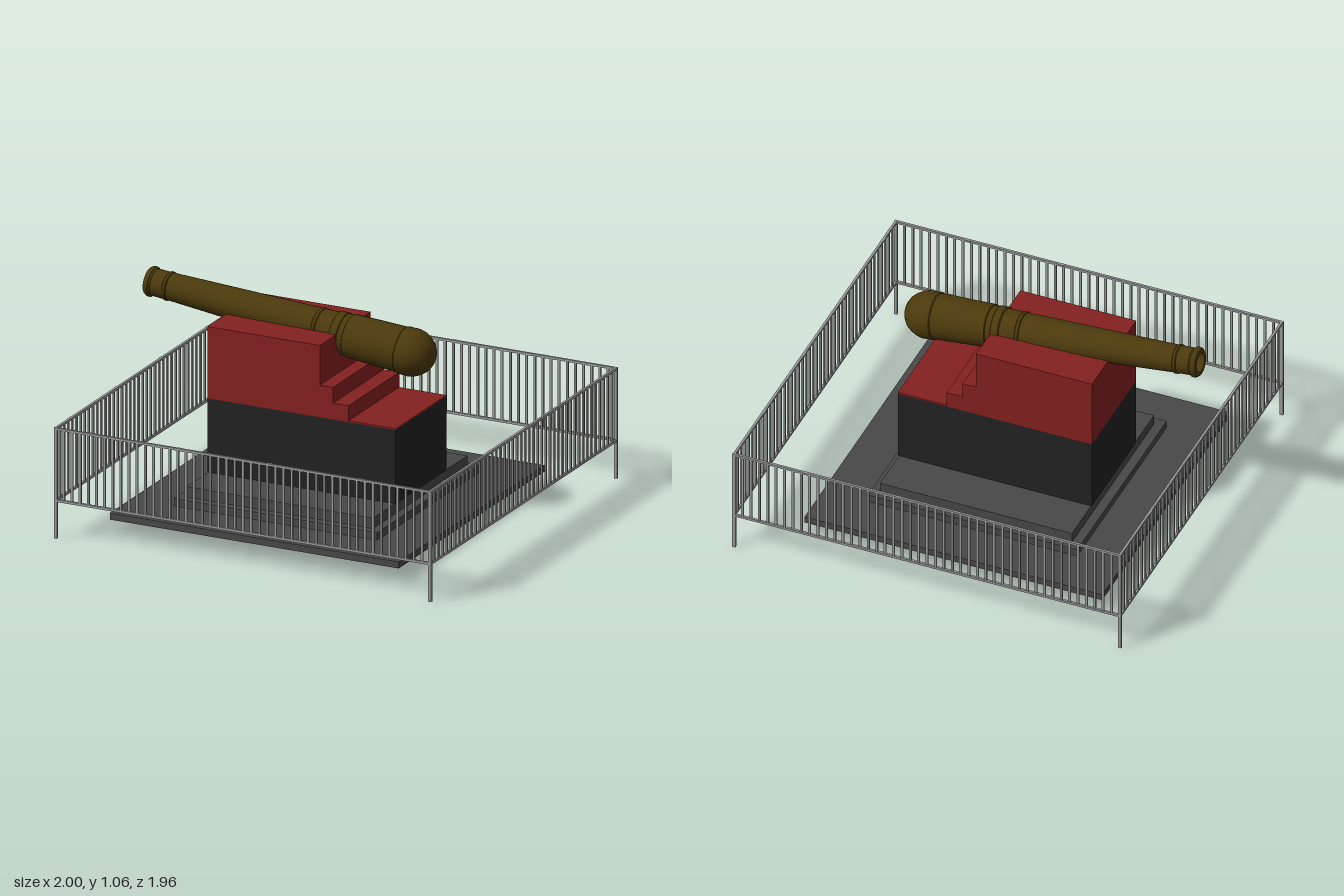
import * as THREE from 'three';
import { toCreasedNormals } from 'three/addons/utils/BufferGeometryUtils.js';

const mat = (color) => new THREE.MeshStandardMaterial({ color });

export function createModel() {
  const model = new THREE.Group();
  const stone = mat(0x484848), black = mat(0x222222), red = mat(0x852020);
  const bronze = mat(0x4c3a0c), steel = mat(0x999999);

  // Box given by its minimum and maximum on each axis
  function box(name, material, x0, x1, y0, y1, z0, z1, parent = model) {
    const mesh = new THREE.Mesh(new THREE.BoxGeometry(x1 - x0, y1 - y0, z1 - z0), material);
    mesh.position.set((x0 + x1) / 2, (y0 + y1) / 2, (z0 + z1) / 2);
    mesh.name = name;
    parent.add(mesh);
    return mesh;
  }

  // Stepped base and plinth
  box('baseSlab', stone, -0.802, 0.726, 0.062, 0.095, -0.747, 0.781);
  box('middleStep', stone, -0.577, 0.498, 0.095, 0.133, -0.52, 0.556);
  box('upperStep', stone, -0.531, 0.454, 0.133, 0.185, -0.476, 0.512);
  box('plinth', black, -0.535, 0.459, 0.185, 0.555, -0.246, 0.284);

  // Stepped carriage, extruded across its width
  const side = new THREE.Shape([
    [-0.536, 0.555], [0.46, 0.555], [0.46, 0.562], [0.21, 0.562], [0.21, 0.637],
    [0.128, 0.637], [0.128, 0.716], [0.058, 0.716], [0.058, 0.915], [-0.536, 0.915],
  ].map(([x, y]) => new THREE.Vector2(x, y)));
  const carriage = new THREE.Mesh(
    new THREE.ExtrudeGeometry(side, { depth: 0.532, bevelEnabled: false }), red);
  carriage.position.z = -0.247;
  carriage.name = 'carriage';
  model.add(carriage);

  // Barrel: [radius, distance from muzzle], from the bore floor round to the breech
  const profile = [
    [0, 0.35], [0.046, 0.35], [0.046, 0], [0.066, 0], [0.074, 0.012], [0.074, 0.026],
    [0.066, 0.036], [0.067, 0.1], [0.071, 0.104], [0.071, 0.116], [0.067, 0.12],
    [0.092, 0.9], [0.096, 0.904], [0.096, 0.918], [0.093, 0.922],
    [0.097, 1.0], [0.103, 1.004], [0.103, 1.04], [0.1, 1.044], [0.1, 1.07],
    [0.105, 1.074], [0.111, 1.35], [0.115, 1.355], [0.115, 1.372], [0.116, 1.41],
    [0.109, 1.436], [0.095, 1.464], [0.076, 1.488], [0.05, 1.505], [0.025, 1.511], [0, 1.513],
  ].map(([r, t]) => new THREE.Vector2(r, t));
  const barrel = new THREE.Mesh(
    toCreasedNormals(new THREE.LatheGeometry(profile, 32), 0.6), bronze);
  barrel.position.set(-0.98, 0.99, 0.018);
  barrel.rotation.z = -(Math.PI / 2 + 0.098);
  barrel.name = 'cannonBarrel';
  model.add(barrel);

  // Fence: one panel along x, reused for all four sides
  const top = 0.555, low = 0.19;
  function fenceSide(name, length) {
    const panel = new THREE.Group();
    panel.name = name;
    const h = length / 2;
    box('topRail', steel, -h, h, top - 0.012, top, -0.006, 0.006, panel);
    box('bottomRail', steel, -h, h, low - 0.006, low + 0.006, -0.006, 0.006, panel);
    const count = Math.round(length / 0.0434);
    for (let i = 1; i < count; i++) {
      const x = -h + (i * length) / count;
      box('picket', steel, x - 0.006, x + 0.006, low, top - 0.006, -0.004, 0.004, panel);
    }
    // Small clips along the top rail
    for (let i = 0; i < 4; i++) {
      const x = -0.82 + i * 0.48;
      box('clip', steel, x - 0.014, x + 0.014, top - 0.01, top, -0.009, -0.004, panel);
    }
    model.add(panel);
    return panel;
  }
  const X = 0.99, Z = 0.974;
  fenceSide('frontFence', 2 * X).position.z = Z;
  fenceSide('backFence', 2 * X).position.z = -Z;
  for (const s of [-1, 1]) {
    const panel = fenceSide(s > 0 ? 'leftFence' : 'rightFence', 2 * Z);
    panel.rotation.y = Math.PI / 2;
    panel.position.x = s * X;
  }

  // Corner posts
  for (const x of [-X, X]) for (const z of [-Z, Z])
    box('cornerPost', steel, x - 0.008, x + 0.008, 0, top, z - 0.006, z + 0.006);

  return model;
}
